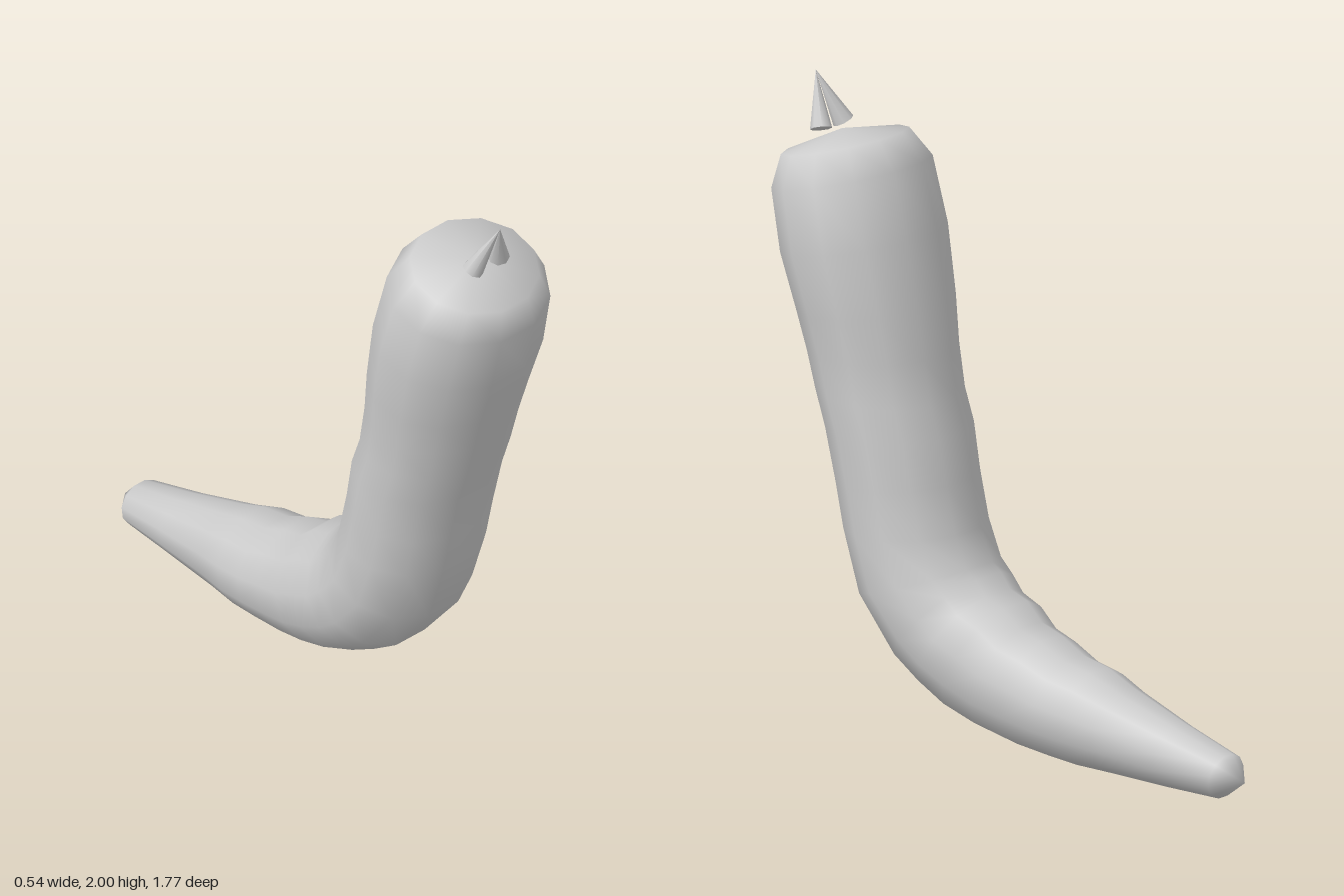
import * as THREE from 'three';

const SIDES = 12;

// Cross-sections from tail to head: [outer z, outer y, inner z, inner y, half width]
const SECTIONS = [
  [-0.80, 0.005, -0.82, 0.14, 0.08],
  [-0.60, 0.005, -0.62, 0.20, 0.105],
  [-0.38, 0.01, -0.41, 0.27, 0.14],
  [-0.26, 0.012, -0.31, 0.31, 0.165],
  [-0.16, 0.02, -0.21, 0.33, 0.172],
  [-0.03, 0.035, -0.12, 0.375, 0.185],
  [0.08, 0.06, -0.04, 0.40, 0.195],
  [0.20, 0.10, 0.02, 0.455, 0.21],
  [0.30, 0.16, 0.09, 0.48, 0.215],
  [0.40, 0.23, 0.125, 0.525, 0.22],
  [0.55, 0.42, 0.16, 0.55, 0.225],
  [0.615, 0.63, 0.205, 0.65, 0.225],
  [0.645, 0.77, 0.24, 0.80, 0.225],
  [0.685, 0.94, 0.265, 0.94, 0.23],
  [0.725, 1.06, 0.30, 1.04, 0.23],
  [0.755, 1.17, 0.325, 1.18, 0.235],
  [0.79, 1.29, 0.345, 1.33, 0.25],
  [0.845, 1.46, 0.385, 1.55, 0.268],
  [0.885, 1.65, 0.44, 1.76, 0.256],
  [0.87, 1.75, 0.51, 1.845, 0.20],
];

function makeBody() {
  const pos = [];
  const index = [];
  const fit = 1 / Math.cos(Math.PI / SIDES);

  // One elliptical ring per cross-section
  for (const [oz, oy, iz, iy, w] of SECTIONS) {
    for (let j = 0; j < SIDES; j++) {
      const t = ((j + 0.5) / SIDES) * Math.PI * 2;
      const c = Math.cos(t) * fit / 2;
      pos.push(
        Math.sin(t) * w * fit,
        (oy + iy) / 2 + (oy - iy) * c,
        (oz + iz) / 2 + (oz - iz) * c
      );
    }
  }
  const tail = pos.length / 3;
  const head = tail + 1;
  pos.push(0, 0.065, -0.885, 0, 1.835, 0.70);

  // Skin between rings, closed by a point at each end
  const last = (SECTIONS.length - 1) * SIDES;
  for (let j = 0; j < SIDES; j++) {
    const k = (j + 1) % SIDES;
    for (let r = 0; r < last; r += SIDES) {
      index.push(r + j, r + k, r + SIDES + j);
      index.push(r + k, r + SIDES + k, r + SIDES + j);
    }
    index.push(tail, k, j);
    index.push(last + j, last + k, head);
  }
  const geo = new THREE.BufferGeometry();
  geo.setAttribute('position', new THREE.Float32BufferAttribute(pos, 3));
  geo.setIndex(index);
  geo.computeVertexNormals();
  return geo;
}

// Cone running from a base centre to a tip
function makeSpike(base, tip, radius, material) {
  const axis = tip.clone().sub(base);
  const mesh = new THREE.Mesh(new THREE.ConeGeometry(radius, axis.length(), 8), material);
  mesh.position.copy(base).addScaledVector(axis, 0.5);
  mesh.quaternion.setFromUnitVectors(new THREE.Vector3(0, 1, 0), axis.normalize());
  return mesh;
}

export function createModel() {
  const group = new THREE.Group();
  group.name = 'worm';
  const material = new THREE.MeshStandardMaterial({ color: 0xcccccc });

  const body = new THREE.Mesh(makeBody(), material);
  body.name = 'body';
  group.add(body);

  // Pair of spikes on the head, meeting at their tips
  for (const side of [1, -1]) {
    const spike = makeSpike(
      new THREE.Vector3(side * 0.053, 1.838, 0.74),
      new THREE.Vector3(0, 2.0, 0.805),
      0.034,
      material
    );
    spike.name = side > 0 ? 'leftMandible' : 'rightMandible';
    group.add(spike);
  }
  return group;
}
